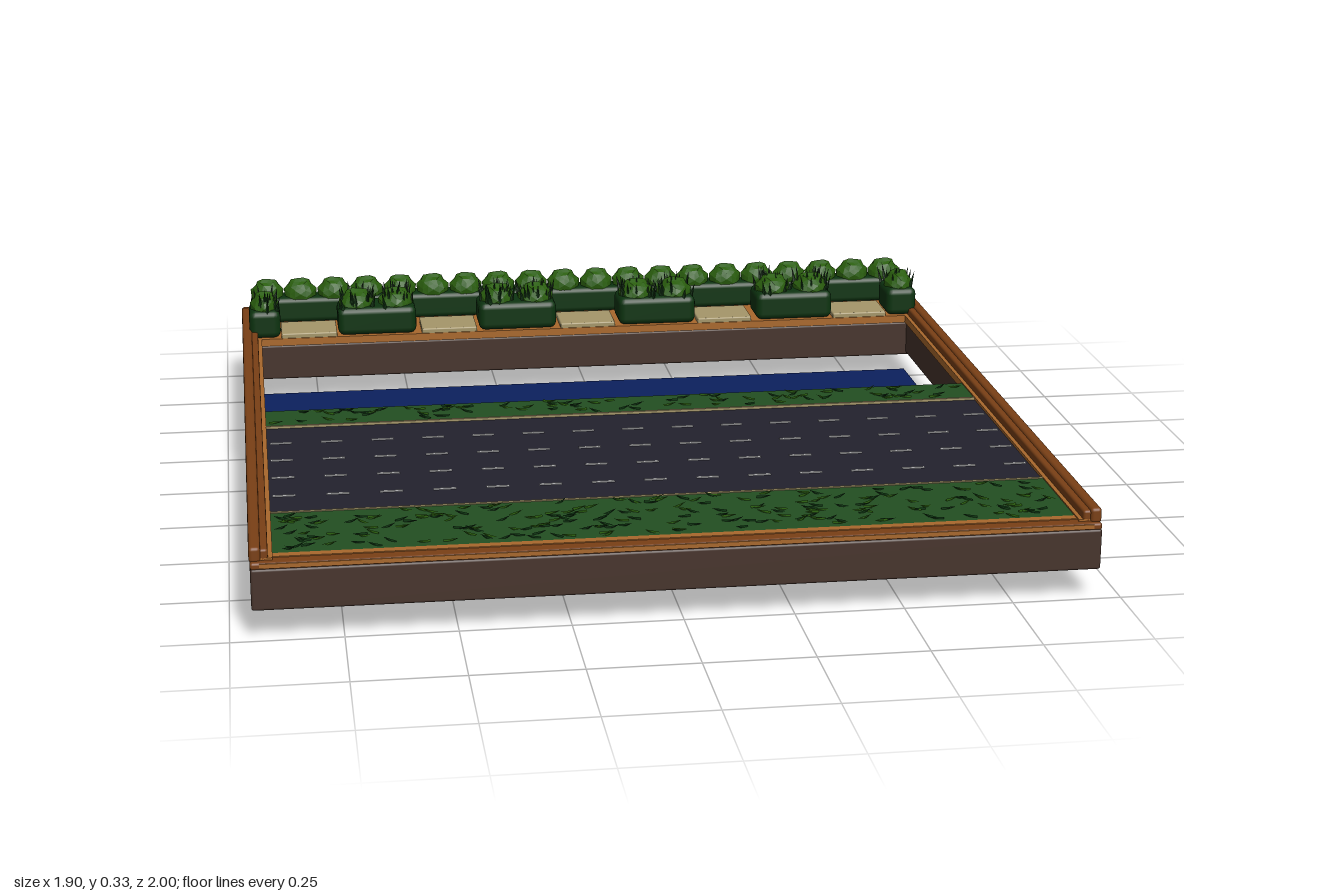
import * as THREE from 'three';
import { RoundedBoxGeometry } from 'three/addons/geometries/RoundedBoxGeometry.js';
import { mergeGeometries } from 'three/addons/utils/BufferGeometryUtils.js';

const mat = (name, color) => {
  const m = new THREE.MeshStandardMaterial({ color });
  m.name = name;
  return m;
};

export function createModel() {
  const model = new THREE.Group();
  model.name = 'riverRoadBoard';
  const soil = mat('soil', 0x47342c), rail = mat('railBrown', 0x7a4016), trim = mat('trimOrange', 0xa9682c);
  const grass = mat('grass', 0x234f22), road = mat('asphalt', 0x23222d), stone = mat('stone', 0xa5966a);
  const paint = mat('lanePaint', 0xdedee0), water = mat('water', 0x0c205e);
  const hedge = mat('hedgeDark', 0x0d3410), leaf = mat('leaf', 0x2a5e0e);

  let seed = 7;
  const rand = (a = 0, b = 1) => {
    seed = (seed * 16807) % 2147483647;
    return a + (b - a) * (seed / 2147483647);
  };

  const add = (name, geo, material, parent = model) => {
    const m = new THREE.Mesh(geo, material);
    m.name = name;
    parent.add(m);
    return m;
  };
  // Box given by its limits on each axis, optionally with rounded edges
  const box = (name, material, [x0, x1], [y0, y1], [z0, z1], r = 0, parent = model) => {
    const s = [x1 - x0, y1 - y0, z1 - z0];
    const g = r ? new RoundedBoxGeometry(...s, 2, r) : new THREE.BoxGeometry(...s);
    const m = add(name, g, material, parent);
    m.position.set((x0 + x1) / 2, (y0 + y1) / 2, (z0 + z1) / 2);
    return m;
  };
  const mirrored = (side, a, b) => (side > 0 ? [a, b] : [-b, -a]);

  // Base slabs, side walls beside the river, and the water sheet below
  box('frontSlab', soil, [-0.95, 0.95], [0.07, 0.166], [-0.07, 1], 0.006);
  box('backSlab', soil, [-0.95, 0.95], [0.07, 0.166], [-0.99, -0.725], 0.006);
  box('water', water, [-0.9, 0.9], [0, 0.03], [-0.72, -0.08]);
  for (const s of [1, -1]) {
    box('riverWall', soil, mirrored(s, 0.905, 0.948), [0.076, 0.172], [-0.73, -0.065], 0.005);
    box('sideTrim', trim, mirrored(s, 0.9, 0.945), [0.165, 0.185], [-0.97, 0.98]);
    box('sideRail', rail, mirrored(s, 0.91, 0.93), [0.172, 0.205], [-0.97, 0.98], 0.006);
    box('sideRailOuter', rail, mirrored(s, 0.926, 0.952), [0.175, 0.211], [-0.97, 0.985], 0.008);
  }
  box('frontTrim', trim, [-0.94, 0.94], [0.16, 0.182], [0.943, 0.965]);
  box('frontRail', rail, [-0.95, 0.95], [0.163, 0.18], [0.96, 0.998], 0.006);
  box('frontTrimLip', trim, [-0.93, 0.93], [0.168, 0.178], [0.99, 1]);
  box('backTrim', trim, [-0.93, 0.93], [0.165, 0.185], [-0.985, -0.725]);
  box('backRail', rail, [-0.952, 0.952], [0.176, 0.205], [-1, -0.975], 0.008);

  // Lawns and road
  box('middleLawn', grass, [-0.905, 0.905], [0.155, 0.182], [-0.08, 0.045]);
  box('frontLawn', grass, [-0.905, 0.905], [0.155, 0.182], [0.685, 0.945]);
  box('road', road, [-0.905, 0.905], [0.155, 0.178], [0.045, 0.685]);
  for (const z of [0.049, 0.683]) box('curb', stone, [-0.905, 0.905], [0.17, 0.184], [z - 0.004, z + 0.004]);
  for (const z of [0.172, 0.302, 0.43, 0.56])
    for (let i = 0; i < 15; i++) {
      const x = -0.893 + i * 0.1238;
      box('laneDash', paint, [x, x + 0.053], [0.177, 0.18], [z - 0.004, z + 0.004]);
    }

  // Small grass blades lying on the lawns, in two greens
  const blades = [[], []];
  const scatter = (count, z0, z1) => {
    for (let i = 0; i < count; i++) {
      const g = new THREE.ConeGeometry(0.006, 0.034, 4);
      g.scale(1, 1, 0.5);
      g.rotateZ(rand(1.1, 1.4) * (rand() < 0.5 ? -1 : 1));
      g.rotateY(rand(-0.6, 0.6));
      g.translate(rand(-0.88, 0.88), 0.184, rand(z0, z1));
      blades[i % 2].push(g);
    }
  };
  scatter(90, -0.065, 0.03);
  scatter(230, 0.7, 0.93);
  add('lawnBladesDark', mergeGeometries(blades[0]), hedge);
  add('lawnBladesLight', mergeGeometries(blades[1]), leaf);

  // Lumpy leaf dome
  const dome = (rx, ry, rz) => {
    const g = new THREE.IcosahedronGeometry(1, 2);
    const p = g.attributes.position;
    for (let i = 0; i < p.count; i++) {
      const [x, y, z] = [p.getX(i), p.getY(i), p.getZ(i)];
      const k = 0.96 + 0.07 * Math.sin(x * 7 + 1) * Math.sin(y * 6) + 0.05 * Math.cos(z * 8);
      p.setXYZ(i, x * k * rx, y * k * ry, z * k * rz);
    }
    g.computeVertexNormals();
    return g;
  };
  // Upright pointed leaves over a patch
  const spikes = (count, cx, cz, wx, wz) => {
    const list = [];
    for (let i = 0; i < count; i++) {
      const h = rand(0.04, 0.075), x = rand(-1, 1), z = rand(-1, 1);
      const g = new THREE.ConeGeometry(0.007, h, 4);
      g.rotateZ(-x * 0.25);
      g.rotateX(z * 0.15);
      g.translate(cx + x * wx, 0.285 - 0.02 * (x * x + z * z) / 2 + rand(-0.01, 0.01), cz + z * wz);
      list.push(g);
    }
    return mergeGeometries(list);
  };

  // Long rear hedge with a row of domes
  const rear = new THREE.Group();
  rear.name = 'rearHedge';
  model.add(rear);
  box('rearHedgeBase', hedge, [-0.925, 0.925], [0.185, 0.255], [-0.963, -0.882], 0.015, rear);
  for (let i = 0; i < 20; i++) {
    const b = add('rearBush', dome(0.046, 0.048, 0.04), leaf, rear);
    b.position.set(-0.88 + i * 0.0926, 0.256, -0.922);
    b.rotation.y = i % 2 ? Math.PI : 0;
  }

  // Front row: planted blocks alternating with paving stones
  for (const x of [-0.77, -0.385, 0, 0.385, 0.77])
    box('pavingStone', stone, [x - 0.076, x + 0.076], [0.18, 0.198], [-0.852, -0.728], 0.004);
  const block = (x, w, bushes) => {
    const g = new THREE.Group();
    g.name = 'hedgeBlock';
    model.add(g);
    box('hedgeBlockBase', hedge, [x - w / 2, x + w / 2], [0.185, 0.262], [-0.847, -0.726], 0.018, g);
    const step = w / bushes;
    for (let i = 0; i < bushes; i++) {
      const bx = x - w / 2 + step * (i + 0.5);
      add('bush', dome(step * 0.46, 0.05, 0.054), leaf, g).position.set(bx, 0.256, -0.787);
      add('bushLeaves', spikes(bushes > 1 ? 24 : 16, bx, -0.787, step * 0.46, 0.055), hedge, g);
    }
  };
  for (const x of [-0.583, -0.195, 0.195, 0.583]) block(x, 0.215, 2);
  for (const x of [-0.89, 0.89]) block(x, 0.085, 1);

  return model;
}
